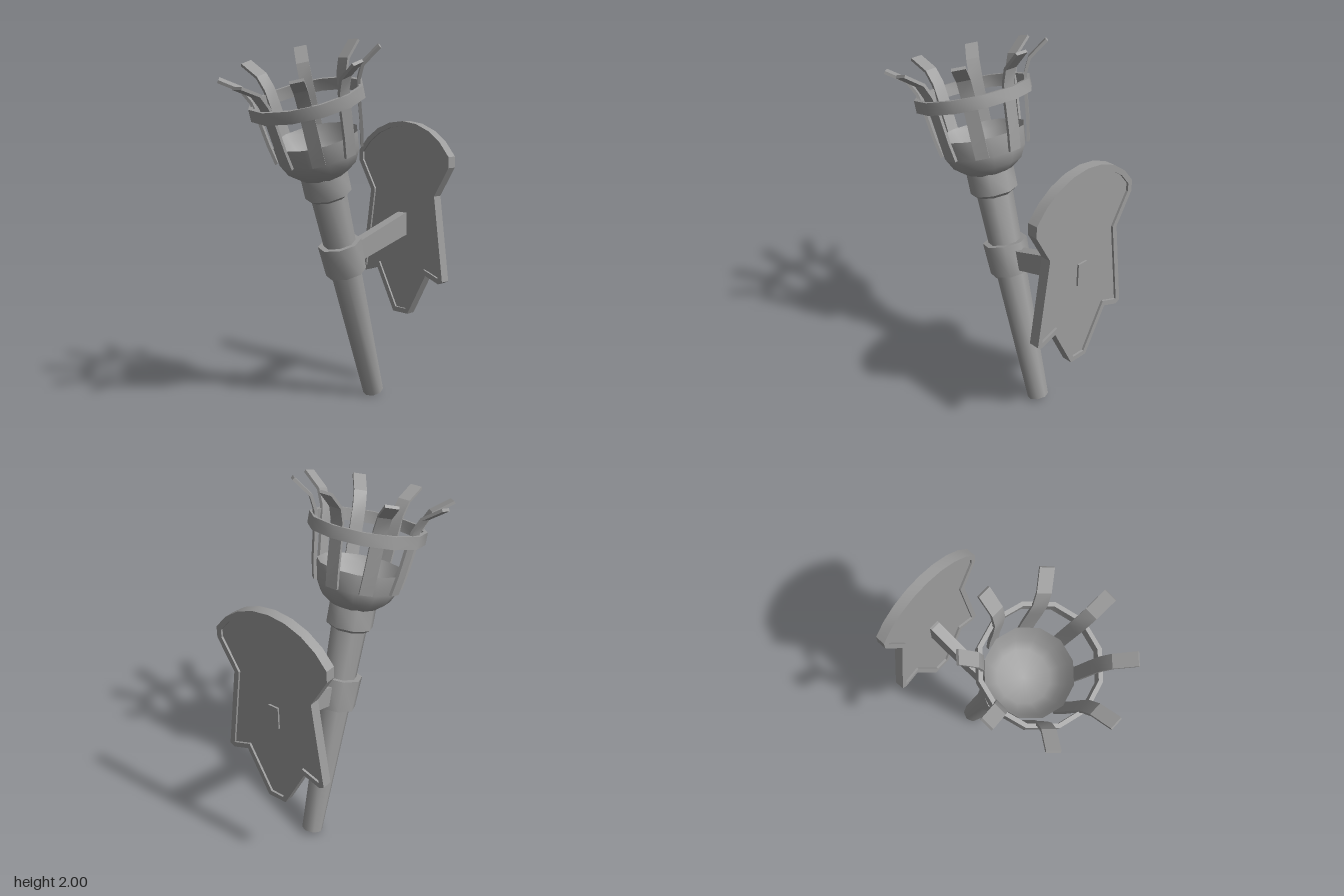
import * as THREE from 'three';
import { toCreasedNormals } from 'three/addons/utils/BufferGeometryUtils.js';

const TILT = THREE.MathUtils.degToRad(17);
const material = new THREE.MeshStandardMaterial({ color: 0x9c9c9c });
const vecs = (pts) => pts.map(([x, y]) => new THREE.Vector2(x, y));

function addMesh(parent, name, geometry, crease) {
  const mesh = new THREE.Mesh(toCreasedNormals(geometry, crease), material);
  mesh.name = name;
  parent.add(mesh);
  return mesh;
}

// Turned part with a corner facing the front; profile is [radius, height]
function turned(parent, name, profile, sides) {
  return addMesh(parent, name, new THREE.LatheGeometry(vecs(profile), sides), 0.85);
}

// Hollow band with a rectangular section
function band(parent, name, outer, inner, y0, y1, sides, topOuter = outer) {
  return turned(parent, name, [[inner, y0], [outer, y0], [topOuter, y1], [inner, y1], [inner, y0]], sides);
}

// Move every edge of a counter-clockwise outline inwards by d
function inset(pts, d) {
  return pts.map((p, i) => {
    const a = pts[(i + pts.length - 1) % pts.length], b = pts[(i + 1) % pts.length];
    const e1 = p.clone().sub(a).normalize(), e2 = b.clone().sub(p).normalize();
    const n1 = new THREE.Vector2(-e1.y, e1.x), n2 = new THREE.Vector2(-e2.y, e2.x);
    const miter = n1.clone().add(n2).multiplyScalar(d / (1 + n1.dot(n2)));
    return p.clone().add(miter);
  });
}

function extrude(shape, depth, z) {
  return new THREE.ExtrudeGeometry(shape, { depth, bevelEnabled: false }).translate(0, 0, z);
}

// Flat strip following a [radius, height] path, extending along +x
function stripGeometry(path, thickness, width) {
  const pts = vecs(path);
  const side = (s) => pts.map((p, i) => {
    const t = pts[Math.min(i + 1, pts.length - 1)].clone().sub(pts[Math.max(i - 1, 0)]).normalize();
    return new THREE.Vector2(p.x + t.y * s, p.y - t.x * s);
  });
  const outline = [...side(thickness / 2), ...side(-thickness / 2).reverse()];
  return extrude(new THREE.Shape(outline), width, -width / 2);
}

function createTorch() {
  const torch = new THREE.Group();
  torch.name = 'torch';
  torch.position.set(0, 0.018, -0.34);
  torch.rotation.x = TILT;

  // Tapered handle and its two collars
  turned(torch, 'handle', [[0, 0], [0.058, 0], [0.084, 0.77], [0.098, 1.24]], 8);
  band(torch, 'bracketCollar', 0.112, 0.08, 0.765, 0.94, 8, 0.12);
  turned(torch, 'neckCollar', [[0.095, 1.205], [0.126, 1.225], [0.126, 1.34], [0.09, 1.34]], 8);

  // Hollow bowl with a thin lip
  turned(torch, 'bowl', [
    [0.11, 1.33], [0.135, 1.345], [0.185, 1.385], [0.218, 1.45], [0.229, 1.55],
    [0.208, 1.51], [0.18, 1.465], [0.138, 1.42], [0, 1.42],
  ], 12);

  // Basket ring and eight flared strips
  band(torch, 'basketRing', 0.306, 0.284, 1.715, 1.78, 12);
  const strip = stripGeometry([
    [0.227, 1.455], [0.246, 1.56], [0.263, 1.7], [0.28, 1.8],
    [0.316, 1.873], [0.417, 1.943],
  ], 0.016, 0.07);
  for (let i = 0; i < 8; i++) {
    addMesh(torch, 'basketStrip', strip, 0.5).rotation.y = i * Math.PI / 4;
  }
  return torch;
}

function createWallPlate() {
  const plate = new THREE.Group();
  plate.name = 'wallPlate';

  // Right half of the outline from the flat foot to the crown, then mirrored
  const half = [
    [0.055, 0.44], [0.185, 0.685], [0.28, 0.652], [0.308, 0.667], [0.24, 1.145], [0.337, 1.31],
  ];
  for (let i = 4; i >= 0; i--) {
    const a = i / 4 * 0.99;
    half.push([0.403 * Math.sin(a), 1.15 + 0.403 * Math.cos(a)]);
  }
  const mirrored = half.slice(0, -1).reverse().map(([x, y]) => [-x, y]);
  const outer = vecs([...half, ...mirrored]);
  const inner = inset(outer, 0.028);

  // Raised frame around a recessed panel
  const frame = new THREE.Shape(outer);
  frame.holes.push(new THREE.Path(inner));
  addMesh(plate, 'plateFrame', extrude(frame, 0.056, -0.622), 0.4);
  addMesh(plate, 'platePanel', extrude(new THREE.Shape(inner), 0.032, -0.61), 0.4);
  return plate;
}

export function createModel() {
  const model = new THREE.Group();
  model.name = 'wallTorch';
  model.add(createTorch(), createWallPlate());

  // Arm joining collar and plate, its end showing behind the panel
  const arm = new THREE.Shape(vecs([
    [0.16, 0.82], [0.2, 0.8], [0.565, 0.9], [0.62, 0.905], [0.62, 1.03], [0.565, 1.03], [0.17, 0.905],
  ]));
  addMesh(model, 'bracketArm', extrude(arm, 0.06, -0.03), 0.3).rotation.y = Math.PI / 2;
  return model;
}
